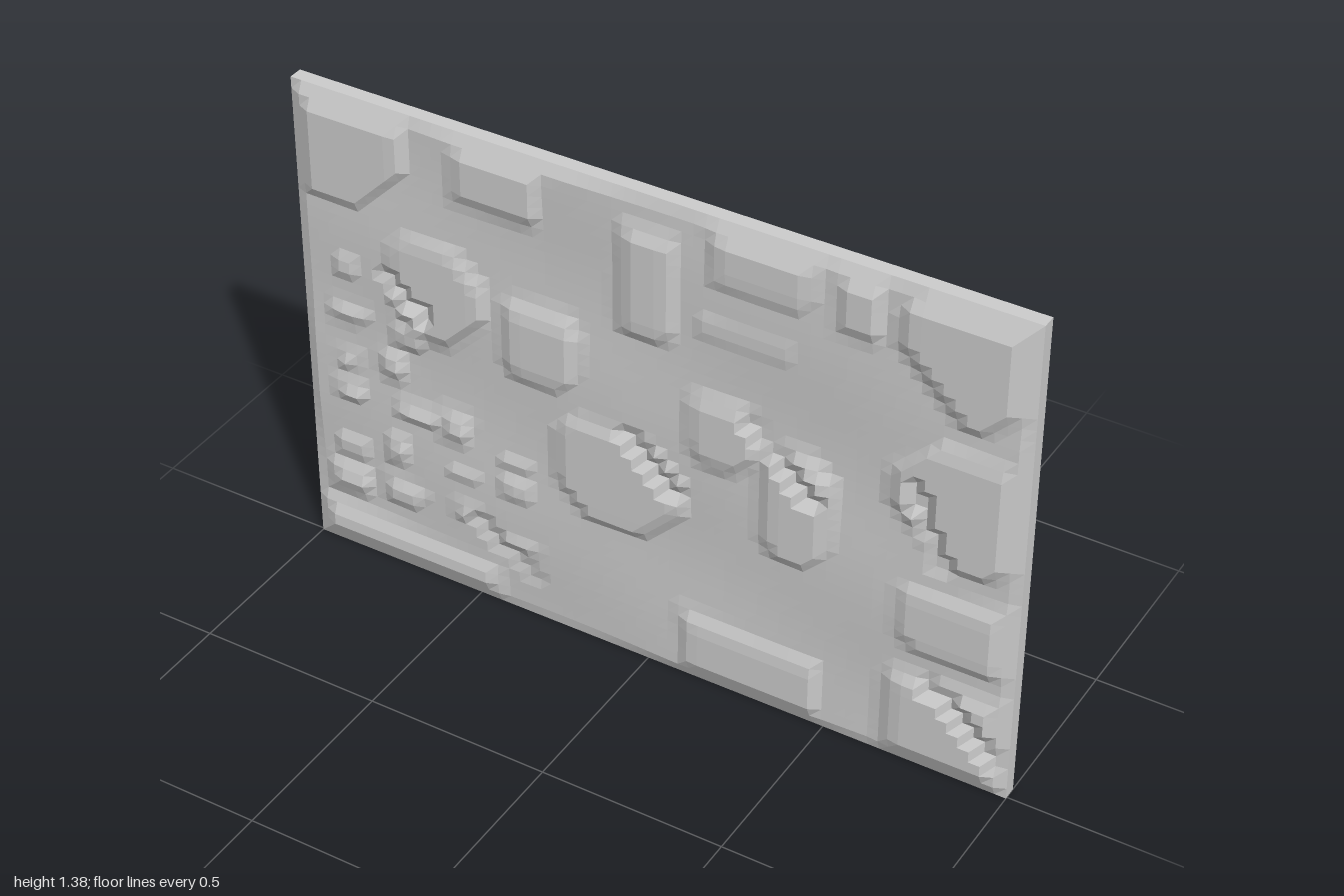
import * as THREE from 'three';

const W = 2, H = 1.385, BACK = -0.033, RIM = 0.005, TOP = 0.033;

// Raised plate with cut corners, returning 0..1. Upper and left flanks slope
// gently, lower and right ones drop steeply.
const plate = (x0, y0, x1, y1, cut = 0.03) => (x, y) => {
  const l = x - x0, r = x1 - x, b = y - y0, t = y1 - y;
  const corner = (Math.min(l, r) + Math.min(b, t) - cut) * 0.7;
  return Math.min(1, l / 0.07, t / 0.07, r / 0.03, b / 0.03, corner / 0.03);
};

// Narrow groove along a slanted line; true inside it
const groove = (x0, y0, x1, y1) => (x, y) => {
  const dx = x1 - x0, dy = y1 - y0;
  const along = ((x - x0) * dx + (y - y0) * dy) / (dx * dx + dy * dy);
  const t = THREE.MathUtils.clamp(along, 0, 1);
  return Math.hypot(x - x0 - t * dx, y - y0 - t * dy) < 0.022;
};

// Seeded random numbers for the broken texture on the left
function seeded(seed) {
  return () => {
    seed = (seed * 16807) % 2147483647;
    return seed / 2147483647;
  };
}

function buildPlates() {
  const plates = [
    // top edge
    plate(-1.1, 1.06, -0.66, 1.5, 0.15),
    plate(-0.58, 1.18, -0.28, 1.5),
    plate(-0.11, 0.98, 0.09, 1.33),
    plate(0.13, 1.2, 0.46, 1.5),
    plate(0.46, 1.18, 0.63, 1.5),
    plate(0.62, 1.04, 1.1, 1.5, 0.2),
    plate(0.1, 1.05, 0.42, 1.15),
    // right edge
    plate(0.62, 0.63, 1.1, 1.03, 0.17),
    plate(0.64, 0.35, 1.1, 0.6, 0.08),
    plate(0.63, -0.1, 1.1, 0.32),
    // bottom edge
    plate(0.06, -0.1, 0.5, 0.25),
    plate(-1.1, -0.1, -0.42, 0.16),
    // rounded shapes in the middle
    plate(-0.3, 0.38, 0.12, 0.74, 0.12),
    plate(0.07, 0.67, 0.33, 0.93, 0.08),
    plate(0.28, 0.46, 0.52, 0.84, 0.08),
    plate(-0.78, 0.74, -0.44, 1.1, 0.12),
    plate(-0.44, 0.73, -0.17, 1, 0.06),
  ];
  // small broken plates in rows down the left side
  const random = seeded(17);
  for (let row = 0; row < 6; row++) {
    for (let col = 0; col < 4; col++) {
      const x = -0.98 + col * 0.17 + random() * 0.06;
      const y = 0.16 + row * 0.13 + random() * 0.05;
      if (y > 0.5 && x > -0.75) continue;
      plates.push(plate(x, y, x + 0.12 + random() * 0.06, y + 0.09 + random() * 0.05));
    }
  }
  return plates;
}

const grooves = [
  groove(-0.74, 0.92, -0.62, 0.82),
  groove(-0.05, 0.7, 0.08, 0.58),
  groove(0.3, 0.84, 0.46, 0.7),
  groove(0.72, 0.84, 0.8, 0.64),
  groove(0.78, 0.28, 0.98, 0.1),
  groove(-0.5, 0.26, -0.32, 0.12),
];

function relief(plates, x, y) {
  // softly rolling ground between the plates
  let h = 0.38 + 0.14 * Math.sin(7 * x - 6 * y) + 0.1 * Math.sin(11 * y + 4 * x);
  for (const shape of plates) h = Math.max(h, shape(x, y));
  if (grooves.some((cut) => cut(x, y))) h = Math.min(h, 0.2);
  // bevel round the border
  const edge = Math.min(1 - Math.abs(x), y, H - y) / 0.0625;
  return Math.max(0, Math.min(h, edge));
}

export function createModel() {
  const group = new THREE.Group();
  group.name = 'reliefPlaque';
  const stone = new THREE.MeshStandardMaterial({ color: 0xcccccc });
  stone.name = 'light grey';

  // backing slab
  const slab = new THREE.Mesh(new THREE.BoxGeometry(W, H, RIM - BACK), stone);
  slab.name = 'backingSlab';
  slab.position.set(0, H / 2, (RIM + BACK) / 2);
  group.add(slab);

  // carved front: a grid pushed forward by the relief, with faceted normals
  const grid = new THREE.PlaneGeometry(W, H, 64, 44).translate(0, H / 2, 0);
  const pos = grid.attributes.position;
  const plates = buildPlates();
  for (let i = 0; i < pos.count; i++) {
    pos.setZ(i, RIM + (TOP - RIM) * relief(plates, pos.getX(i), pos.getY(i)));
  }
  const faceted = grid.toNonIndexed();
  faceted.computeVertexNormals();
  const carving = new THREE.Mesh(faceted, stone);
  carving.name = 'carvedFront';
  group.add(carving);
  return group;
}
